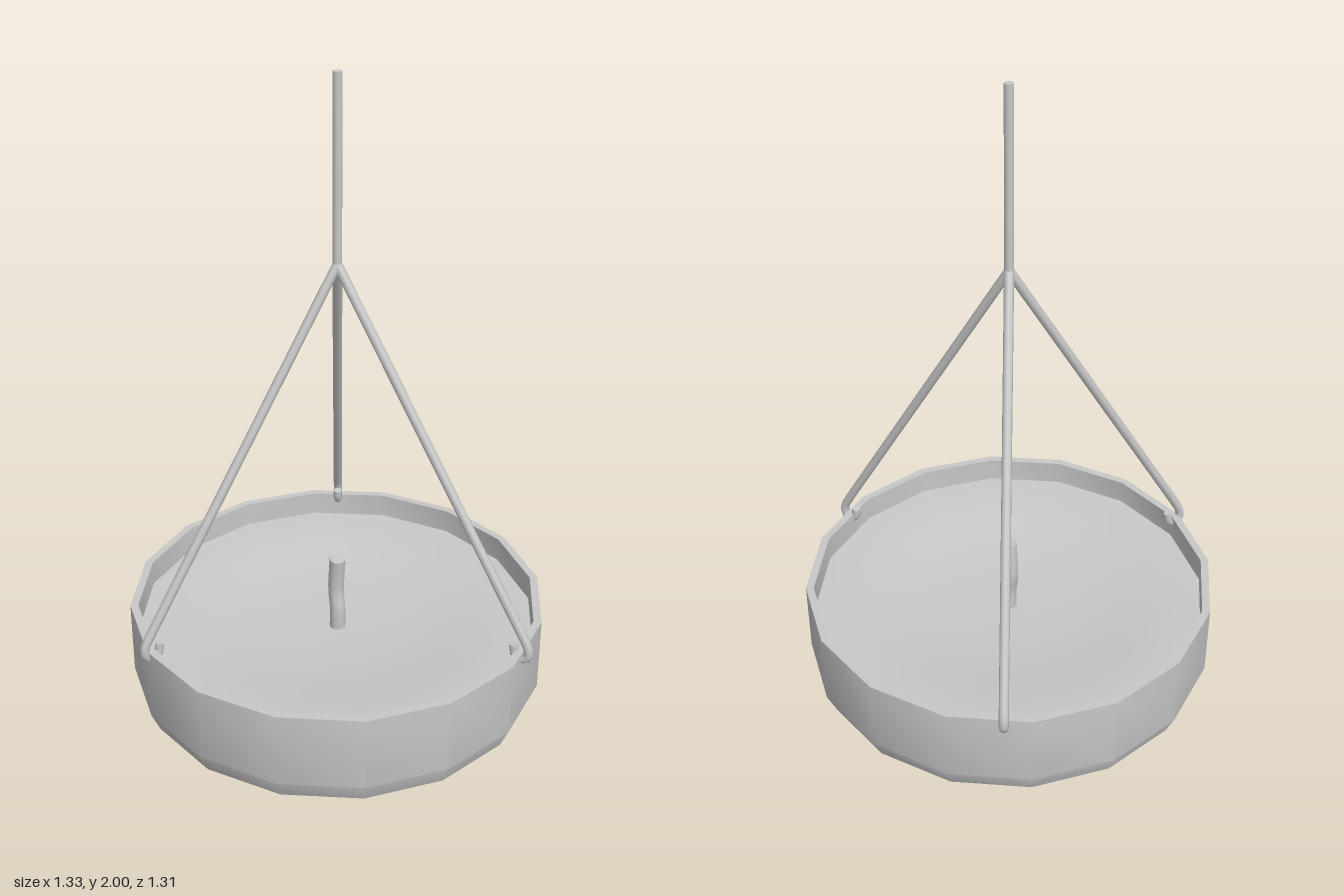
import * as THREE from 'three';
import { toCreasedNormals } from 'three/addons/utils/BufferGeometryUtils.js';

const SIDES = 16;
const v2 = (points) => points.map(([x, y]) => new THREE.Vector2(x, y));
const v3 = (points) => points.map((p) => new THREE.Vector3(...p));

export function createModel() {
  const model = new THREE.Group();
  model.name = 'hangingCandleBowl';
  const grey = new THREE.MeshStandardMaterial({ color: 0xc8c8c8 });
  grey.name = 'plain grey';

  const body = new THREE.Group();
  body.name = 'candleAndHanger';
  body.position.x = 0.01;
  model.add(body);

  const add = (name, geometry, parent = body) => {
    const mesh = new THREE.Mesh(geometry, grey);
    mesh.name = name;
    parent.add(mesh);
    return mesh;
  };

  // Round tube along a curve, with a flat cap on its far end
  const addTube = (name, curve, segments, radius, sides, parent) => {
    const tube = add(name, new THREE.TubeGeometry(curve, segments, radius, sides), parent);
    const cap = add(name + 'End', new THREE.CircleGeometry(radius, sides), tube);
    cap.position.copy(curve.getPoint(1));
    cap.quaternion.setFromUnitVectors(new THREE.Vector3(0, 0, 1), curve.getTangent(1));
  };

  // Faceted bowl: base, bevel, outer wall, rim and inner wall
  const bowlProfile = v2([
    [0, 0], [0.58, 0], [0.63, 0.028], [0.657, 0.09],
    [0.657, 0.33], [0.632, 0.33], [0.632, 0.22],
  ]);
  add('bowl', toCreasedNormals(new THREE.LatheGeometry(bowlProfile, SIDES), 0.5));

  // Wax filling, dished towards the wick
  const waxProfile = v2([
    [0.634, 0.25], [0.55, 0.247], [0.46, 0.238], [0.36, 0.221],
    [0.25, 0.208], [0.12, 0.202], [0, 0.2],
  ]);
  add('wax', new THREE.LatheGeometry(waxProfile, SIDES));

  // Slightly bent wick
  const wickPath = new THREE.CatmullRomCurve3(v3([
    [0, 0.19, 0.003], [0, 0.27, 0.004], [0, 0.33, -0.006],
    [0, 0.39, -0.003], [0, 0.455, 0.004],
  ]));
  addTube('wick', wickPath, 10, 0.026, 8, body);

  // Upright hanging rod
  const pole = add('pole', new THREE.CylinderGeometry(0.014, 0.014, 0.56, 10));
  pole.position.y = 1.72;

  // Three slanted rods, each hooked through the bowl wall
  for (let i = 0; i < 3; i++) {
    const arm = new THREE.Group();
    arm.name = 'hangerArm' + (i + 1);
    arm.rotation.y = Math.PI + (i * Math.PI * 2) / 3;
    body.add(arm);

    const path = new THREE.CurvePath();
    const top = new THREE.Vector3(0, 1.445, 0);
    const bend = new THREE.Vector3(0.636, 0.395, 0);
    path.add(new THREE.LineCurve3(top, bend));
    path.add(new THREE.CatmullRomCurve3([bend, ...v3([
      [0.663, 0.342, 0], [0.659, 0.312, 0], [0.638, 0.304, 0],
      [0.62, 0.318, 0], [0.615, 0.35, 0],
    ])]));
    addTube('hookedRod', path, 90, 0.0145, 8, arm);
  }

  return model;
}
